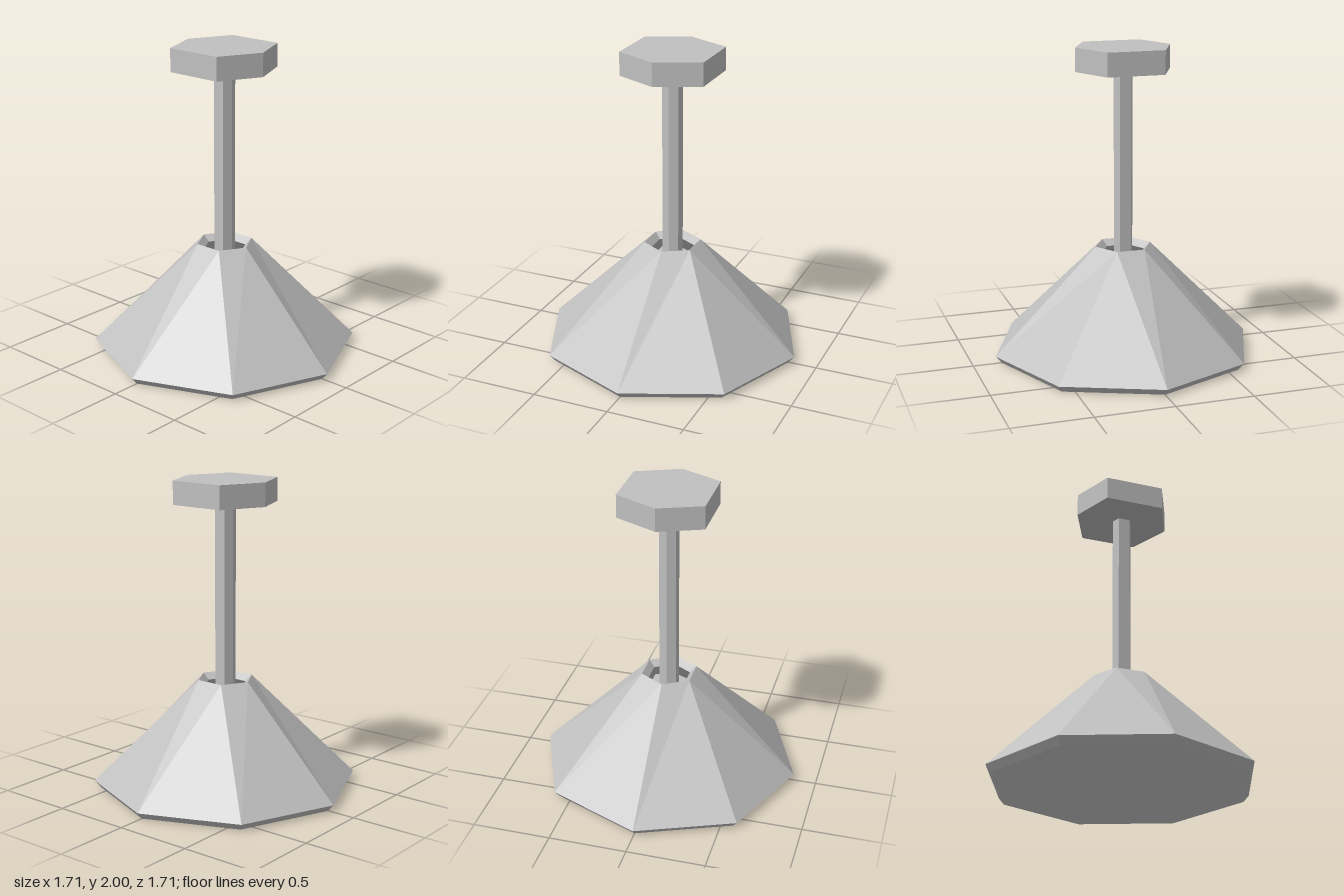
import * as THREE from 'three';

const grey = new THREE.MeshStandardMaterial({ color: 0xc0c0c0 });
grey.name = 'matte grey';

// Horizontal ring of n points, angles running from +x towards +z
function ring(n, radius, y) {
  return Array.from({ length: n }, (_, i) => {
    const a = (i / n) * Math.PI * 2;
    return [radius * Math.cos(a), y, radius * Math.sin(a)];
  });
}

// Faceted band joining two rings; map gives the upper point above each lower point
function band(out, lower, upper, map, inward = false) {
  const n = lower.length;
  const tri = (a, b, c) => out.push(...a, ...(inward ? c : b), ...(inward ? b : c));
  for (let k = 0; k < n; k++) {
    const b0 = lower[k], b1 = lower[(k + 1) % n];
    const t0 = upper[map[k]], t1 = upper[map[(k + 1) % n]];
    tri(b0, t0, b1);
    if (t0 !== t1) tri(b1, t0, t1);
  }
}

// Slightly uneven hexagon shared by the ceiling plate and the stem (x, z)
const outline = [[0.31, 0], [0.18, 0.275], [-0.2, 0.275], [-0.31, 0], [-0.18, -0.28], [0.19, -0.28]];

function prism(name, scale, y0, y1) {
  const shape = new THREE.Shape(outline.map(([x, z]) => new THREE.Vector2(x * scale, -z * scale)));
  const geo = new THREE.ExtrudeGeometry(shape, { depth: y1 - y0, bevelEnabled: false });
  geo.rotateX(-Math.PI / 2);
  geo.translate(0, y0, 0);
  const mesh = new THREE.Mesh(geo, grey);
  mesh.name = name;
  return mesh;
}

export function createModel() {
  const model = new THREE.Group();
  model.name = 'pendantLamp';

  // Ceiling plate and stem
  model.add(prism('ceilingPlate', 1, 1.85, 2));
  model.add(prism('stem', 0.2, 0.5, 1.86));

  // Bulb socket inside the shade
  model.add(prism('socket', 0.42, 0.41, 0.62));

  // Hollow shade: eight-sided rim narrowing to a six-sided opening
  const outerRim = ring(8, 0.853, 0.05), innerRim = ring(8, 0.815, 0.005);
  const outerTop = ring(6, 0.183, 0.72), innerTop = ring(6, 0.14, 0.68);
  const eightToSix = [0, 1, 2, 2, 3, 4, 5, 5];
  const same = [0, 1, 2, 3, 4, 5, 6, 7];
  const pos = [];
  band(pos, outerRim, outerTop, eightToSix);
  band(pos, innerRim, outerRim, same);
  band(pos, innerRim, innerTop, eightToSix, true);
  band(pos, innerTop, outerTop, same, true);
  const geo = new THREE.BufferGeometry();
  geo.setAttribute('position', new THREE.Float32BufferAttribute(pos, 3));
  geo.computeVertexNormals();
  const shade = new THREE.Mesh(geo, grey);
  shade.name = 'shade';
  model.add(shade);

  return model;
}
